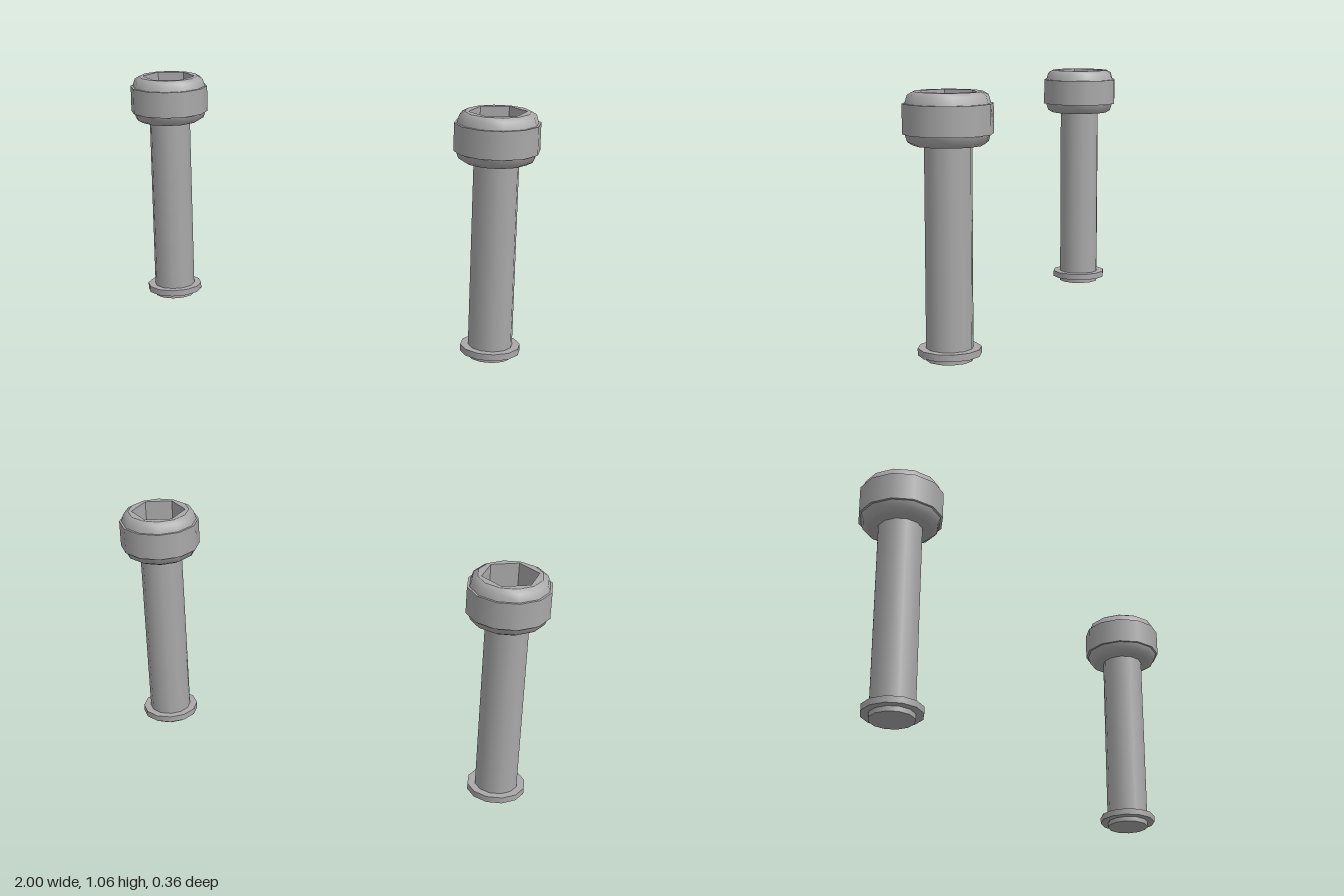
import * as THREE from 'three';

const SIDES = 12;

export function createModel() {
  const steel = new THREE.MeshStandardMaterial({ color: 0xa9a9a9 });
  steel.name = 'steel grey';

  const part = (name, geometry, parent) => {
    const mesh = new THREE.Mesh(geometry, steel);
    mesh.name = name;
    parent.add(mesh);
    return mesh;
  };

  // One lathe per strip, so each crease between strips stays sharp
  const turned = (name, strips, parent) => {
    const group = new THREE.Group();
    group.name = name;
    strips.forEach((strip, i) => {
      const points = strip.map(([r, y]) => new THREE.Vector2(r, y));
      part(`${name}Surface${i + 1}`, new THREE.LatheGeometry(points, SIDES), group);
    });
    parent.add(group);
  };

  const polygon = (Type, radius, sides) => {
    const points = [];
    for (let i = 0; i < sides; i++) {
      const a = (i / sides) * Math.PI * 2;
      points.push(new THREE.Vector2(Math.sin(a) * radius, Math.cos(a) * radius));
    }
    return new Type(points);
  };

  const makeBolt = (name, x) => {
    const bolt = new THREE.Group();
    bolt.name = name;
    bolt.position.x = x;

    // Shaft with its closed tip
    turned('shaft', [
      [[0, 0], [0.094, 0]],
      [[0.094, 0], [0.094, 0.86]],
    ], bolt);

    // Thin retaining ring near the tip
    turned('retainingRing', [
      [[0.09, 0.022], [0.127, 0.022]],
      [[0.127, 0.022], [0.127, 0.05]],
      [[0.127, 0.05], [0.09, 0.05]],
    ], bolt);

    // Head: rounded underside, raised band, rounded shoulder
    turned('head', [
      [[0.09, 0.851], [0.136, 0.851]],
      [[0.136, 0.851], [0.158, 0.864], [0.168, 0.895]],
      [[0.168, 0.895], [0.178, 0.895]],
      [[0.178, 0.895], [0.178, 1.013]],
      [[0.178, 1.013], [0.168, 1.013]],
      [[0.168, 1.013], [0.158, 1.046], [0.136, 1.059]],
    ], bolt);

    // Flat top with the hexagonal opening
    const rim = polygon(THREE.Shape, 0.136, SIDES);
    rim.holes.push(polygon(THREE.Path, 0.12, 6));
    const rimGeometry = new THREE.ShapeGeometry(rim);
    rimGeometry.rotateX(-Math.PI / 2);
    part('headRim', rimGeometry, bolt).position.y = 1.059;

    // Hexagonal socket, faceted and facing inward
    const socketProfile = [[0.12, 1.059], [0.12, 0.909], [0, 0.909]]
      .map(([r, y]) => new THREE.Vector2(r, y));
    const socket = new THREE.LatheGeometry(socketProfile, 6).toNonIndexed();
    socket.computeVertexNormals();
    part('hexSocket', socket, bolt);

    return bolt;
  };

  const model = new THREE.Group();
  model.name = 'boltPair';
  model.add(makeBolt('leftBolt', 0.822), makeBolt('rightBolt', -0.822));
  return model;
}
